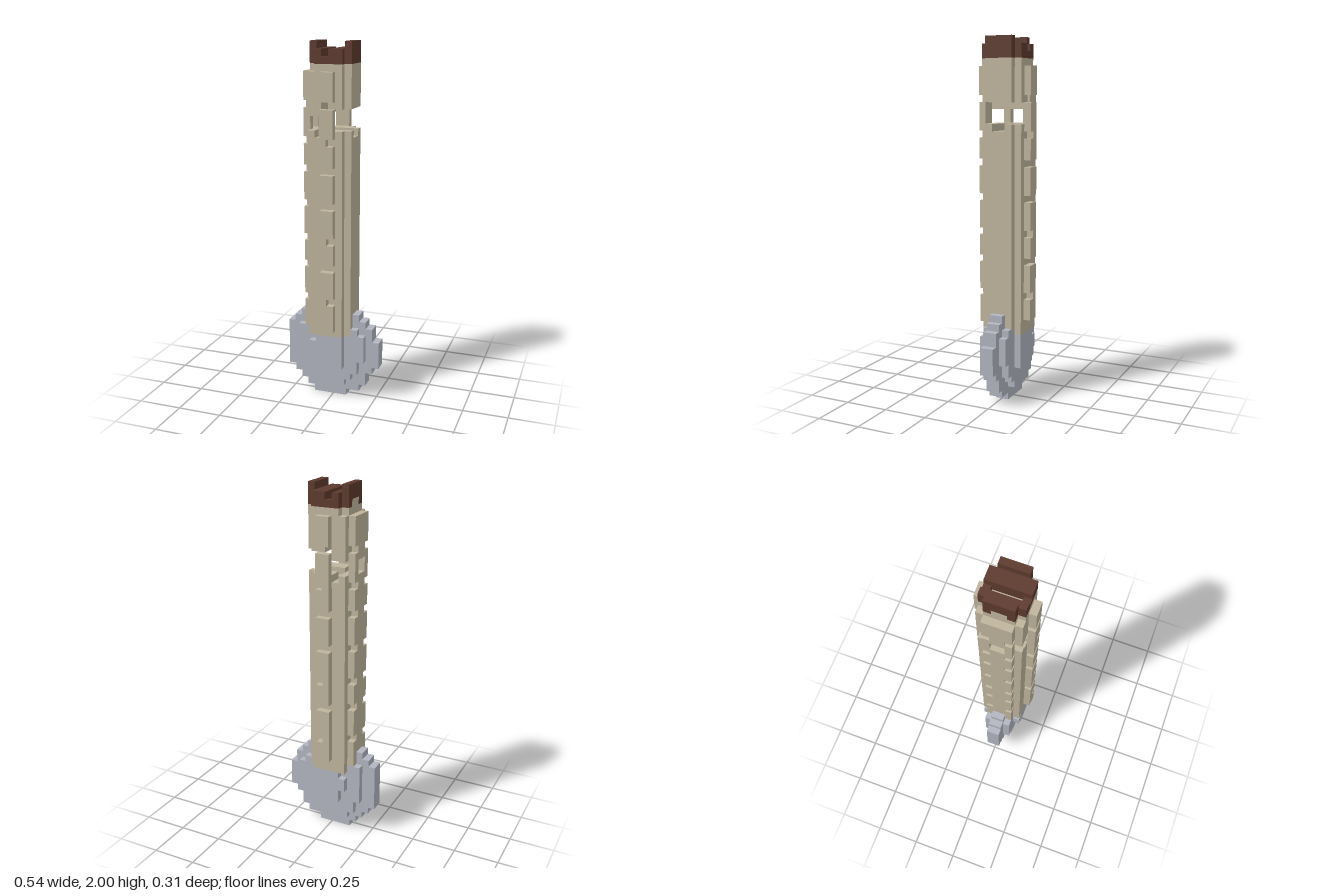
import * as THREE from 'three';
import { mergeGeometries } from 'three/addons/utils/BufferGeometryUtils.js';

// All coordinates are counted in cubes; the model is 52 cubes tall
const U = 2 / 52;

function cuboid([x0, x1, y0, y1, z0, z1]) {
  const g = new THREE.BoxGeometry((x1 - x0) * U, (y1 - y0) * U, (z1 - z0) * U);
  return g.translate((x0 + x1) * U / 2, (y0 + y1) * U / 2, (z0 + z1) * U / 2);
}

// The same box on the front and the back
const both = ([x0, x1, y0, y1, z0, z1]) => [
  [x0, x1, y0, y1, z0, z1],
  [x0, x1, y0, y1, -z1, -z0],
];

export function createModel() {
  const model = new THREE.Group();
  model.name = 'tower';
  const stone = new THREE.MeshStandardMaterial({ color: 0xbfb59d });
  stone.name = 'sandstone';
  const rock = new THREE.MeshStandardMaterial({ color: 0xb2b5c0 });
  rock.name = 'greyRock';
  const roof = new THREE.MeshStandardMaterial({ color: 0x5d392d });
  roof.name = 'darkBrown';

  function part(name, material, boxes) {
    const mesh = new THREE.Mesh(mergeGeometries(boxes.map(cuboid)), material);
    mesh.name = name;
    model.add(mesh);
  }

  // Rounded base: three stepped discs, rows of [bottom, top, left, right]
  const disc = (rows, h) => rows.map(([y0, y1, x0, x1]) => [x0, x1, y0, y1, -h, h]);
  part('baseDiscOuter', rock, disc([
    [0, 1, -3, 2], [1, 2, -4, 4], [2, 3, -5, 5], [3, 4, -6, 5], [4, 5, -7, 6],
    [5, 9, -7, 7], [9, 11, -7, 6], [11, 12, -6, -4], [11, 12, 3, 5],
    [12, 13, -5, -4], [12, 13, 3, 4],
  ], 1));
  part('baseDiscMiddle', rock, disc([
    [2, 3, -3, 2], [3, 4, -4, 3], [4, 5, -4, 4], [5, 6, -5, 4],
    [6, 9, -5, 5], [9, 10, -5, 5], [10, 11, -5, 4],
  ], 2));
  part('baseDiscInner', rock, disc([
    [5, 7, -2, 2], [7, 9, -3, 2], [9, 10, -2, 2],
  ], 3));

  // Shaft, with a sunken floor under the window chamber
  part('shaft', stone, [
    [-3, 2, 10, 39, -3, 3],
    [2, 3, 10, 39, -2, 2],
    [-3, -2, 39, 40, -3, 3],
    ...both([-1, 2, 39, 40, 1, 3]),
    ...both([2, 3, 39, 40, 1, 2]),
  ]);

  // Storey above the chamber, split by a narrow slot in its underside
  part('upperStorey', stone, [
    [-3, -1, 42, 44, -3, 3],
    [0, 2, 43, 44, -3, 3],
    [2, 3, 43, 49, -2, 2],
    [-3, 2, 44, 48, -3, 3],
    [-2, 2, 48, 49, -3, 3],
    [-3, -2, 48, 49, -2, 2],
  ]);

  // Raised blocks up the front and back
  const courses = [[11, 15], [16, 20], [21, 24], [25, 29], [30, 34], [35, 38], [39, 43], [44, 48]];
  const blocks = [];
  for (const [y0, y1] of courses) {
    if (y0 === 11) {
      blocks.push([-1, 1, 12, y1, -4, -3], [-1, 1, 12, y1, 3, 4], [0, 1, 11, 12, 3, 4]);
    } else {
      blocks.push(...both([-1, 1, y0, y1, 3, 4]));
    }
  }
  for (const y of [15, 24, 38]) blocks.push(...both([-1, 0, y, y + 1, 3, 4]));
  part('raisedBlocks', stone, blocks);

  // Side buttress: unbroken middle with notched edges and a window
  const buttress = [[-4, -3, 11, 40, -1, 1], [-4, -3, 42, 48, -1, 1]];
  for (const [y0, y1] of courses) buttress.push(...both([-4, -3, y0, y1, 1, 2]));
  part('sideButtress', stone, buttress);

  // Battlements with a slot across the middle
  part('battlements', roof, [
    ...both([-3, -2, 49, 50, 1, 2]),
    [-3, -2, 50, 52, -2, 2],
    [-2, -1, 49, 51, -3, 3],
    ...both([-1, 0, 49, 50, 2, 3]),
    [0, 2, 49, 51, -3, 3],
    [2, 3, 49, 52, -2, 2],
  ]);
  part('buttressArch', stone, [[-3, -2, 49, 50, -1, 1]]);

  return model;
}
